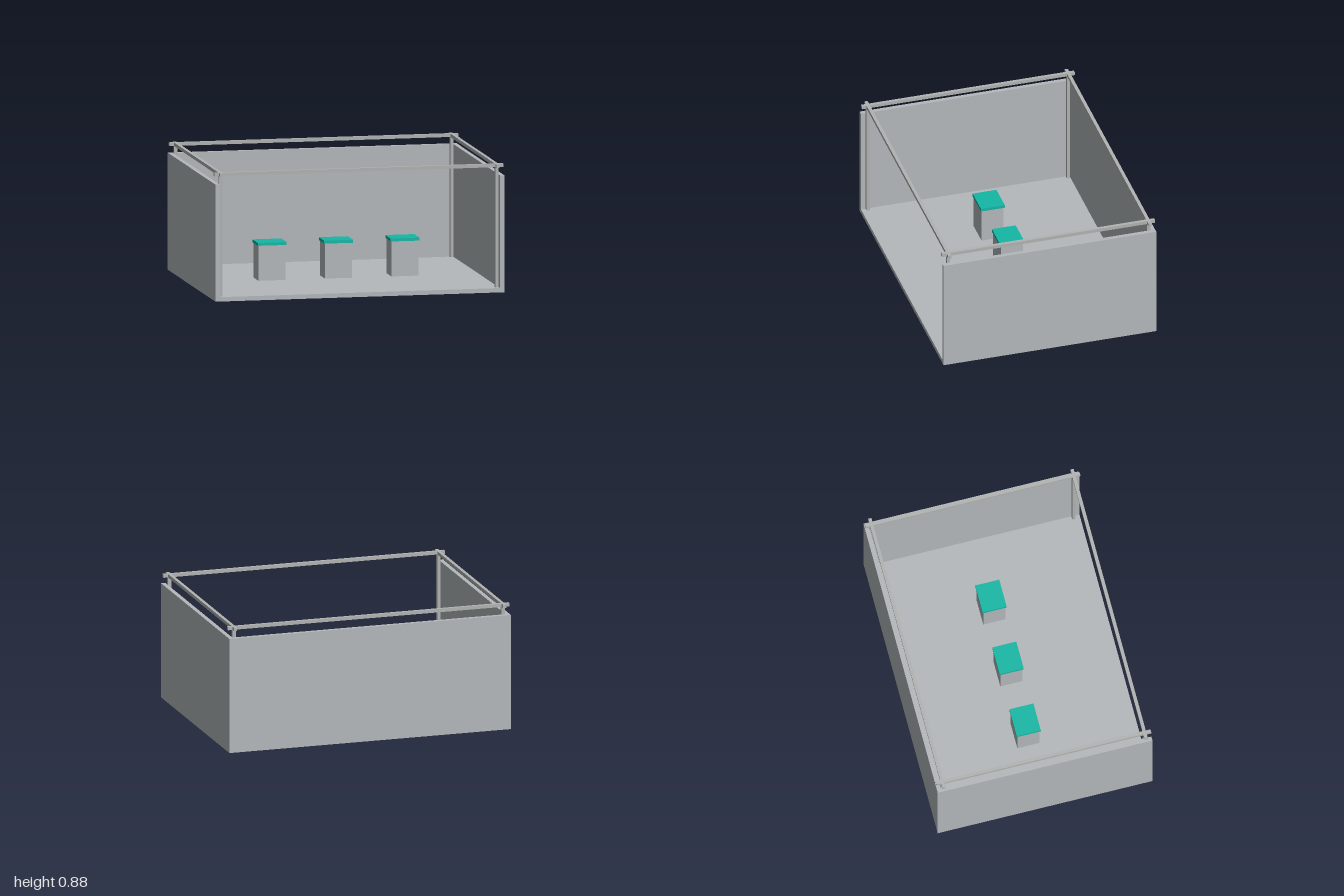
import * as THREE from 'three';

export function createModel() {
  const model = new THREE.Group();
  const material = (name, color) => {
    const m = new THREE.MeshStandardMaterial({ color });
    m.name = name;
    return m;
  };
  const panelGrey = material('panel grey', 0xb4b9bc);
  const metalGrey = material('metal grey', 0xb2b4b4);
  const teal = material('teal', 0x14b8a6);

  // Box given by its size, its centre in x and z, and its underside
  const box = (name, mat, w, h, d, x, bottom, z) => {
    const mesh = new THREE.Mesh(new THREE.BoxGeometry(w, h, d), mat);
    mesh.name = name;
    mesh.position.set(x, bottom + h / 2, z);
    model.add(mesh);
  };

  const W = 2, D = 1.5, T = 0.03, wallTop = 0.8;
  const bar = 0.023, height = 0.875;
  const barX = 0.956, barZ = 0.706;

  // Floor and back wall; the front stays open
  box('floor', panelGrey, W, T, D, 0, 0, 0);
  box('backWall', panelGrey, W - 2 * T, wallTop - T, T, 0, T, -D / 2 + T / 2);

  for (const s of [-1, 1]) {
    const side = s > 0 ? 'left' : 'right';
    box(side + 'Wall', panelGrey, T, wallTop - T, D, s * (W / 2 - T / 2), T, 0);

    // Top frame: rails running past each other at the corners
    box(side + 'Rail', metalGrey, bar, bar, D, s * barX, height - bar, 0);
    box(s > 0 ? 'frontRail' : 'backRail', metalGrey, W, bar, bar, 0, height - bar, s * barZ);

    // Corner posts
    for (const t of [-1, 1]) {
      box(side + (t > 0 ? 'Front' : 'Back') + 'Post', metalGrey,
        bar, height - bar - T, bar, s * barX, T, t * barZ);
    }
  }

  // Row of display pedestals with overhanging tops
  for (const x of [-0.46, 0, 0.46]) {
    box('pedestal', panelGrey, 0.188, 0.24, 0.156, x, T, 0);
    box('pedestalTop', teal, 0.2, 0.02, 0.168, x, 0.27, 0);
  }

  return model;
}
